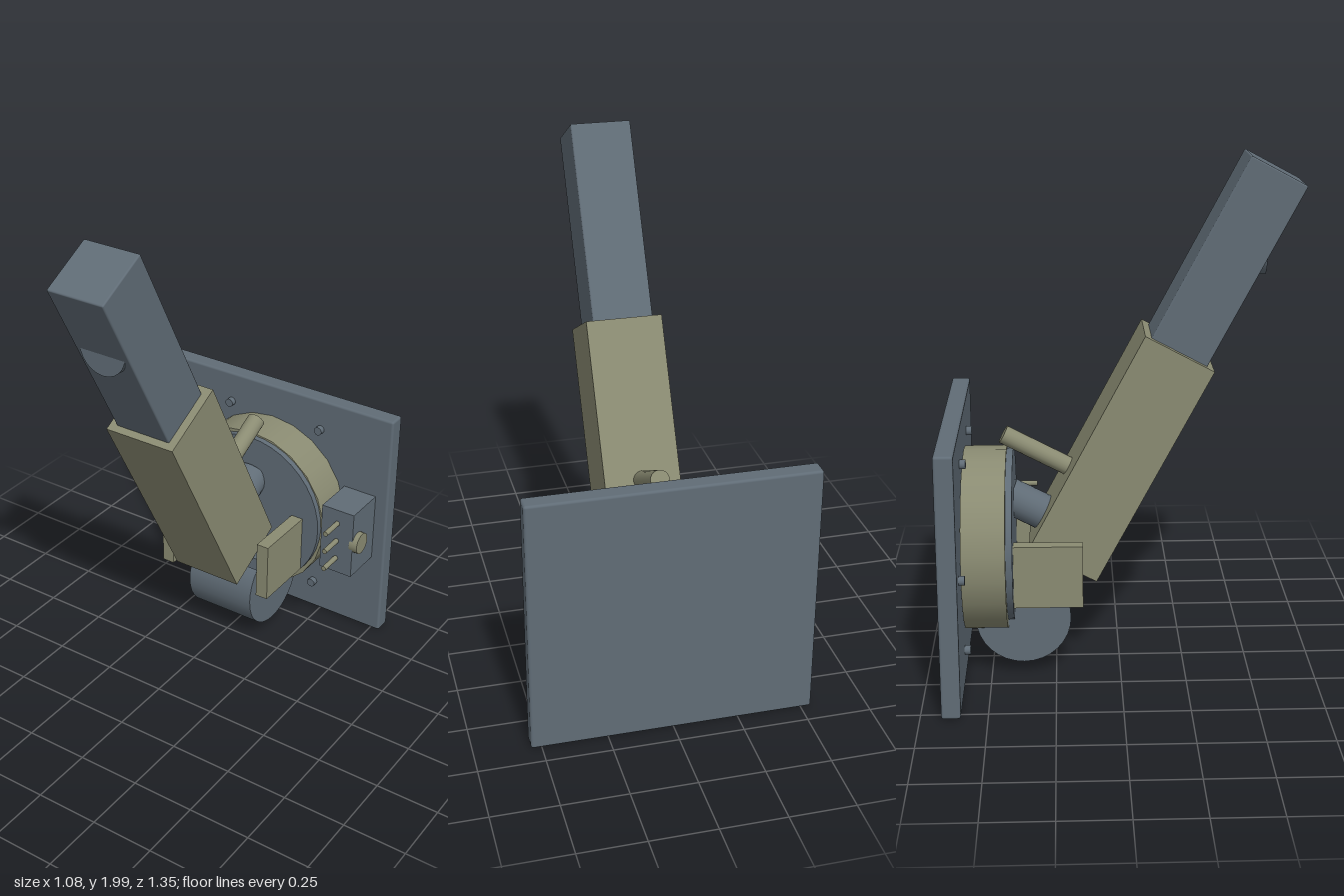
import * as THREE from 'three';
import { RoundedBoxGeometry } from 'three/addons/geometries/RoundedBoxGeometry.js';

const steel = new THREE.MeshStandardMaterial({ color: 0x606c76 });
steel.name = 'slate steel';
const olive = new THREE.MeshStandardMaterial({ color: 0x8a8b72 });
olive.name = 'olive metal';

const TILT = 0.49; // forward lean of the arm

export function createModel() {
  const model = new THREE.Group();
  model.name = 'wallMountedArm';

  const add = (name, geometry, material, parent = model) => {
    const mesh = new THREE.Mesh(geometry, material);
    mesh.name = name;
    parent.add(mesh);
    return mesh;
  };
  // Box given by its ranges on each axis, optionally with a small edge bevel
  const box = (name, [x0, x1], [y0, y1], [z0, z1], material, bevel = 0) => {
    const size = [x1 - x0, y1 - y0, z1 - z0];
    const geometry = bevel ? new RoundedBoxGeometry(...size, 2, bevel) : new THREE.BoxGeometry(...size);
    const mesh = add(name, geometry, material);
    mesh.position.set((x0 + x1) / 2, (y0 + y1) / 2, (z0 + z1) / 2);
    return mesh;
  };
  // Cylinder running between two points
  const rod = (name, from, to, radius, material, sides = 24) => {
    const a = new THREE.Vector3(...from), b = new THREE.Vector3(...to);
    const mesh = add(name, new THREE.CylinderGeometry(radius, radius, a.distanceTo(b), sides), material);
    mesh.position.copy(a).add(b).multiplyScalar(0.5);
    mesh.quaternion.setFromUnitVectors(new THREE.Vector3(0, 1, 0), b.sub(a).normalize());
    return mesh;
  };

  // Back plate with six bolts
  box('backPlate', [-0.54, 0.54], [0.01, 1.02], [-0.672, -0.6], steel, 0.01);
  for (let i = 0; i < 6; i++) {
    const t = (i * Math.PI) / 3;
    const x = -0.003 + 0.432 * Math.cos(t), y = 0.514 + 0.432 * Math.sin(t);
    rod('bolt', [x, y, -0.61], [x, y, -0.577], 0.018, steel, 12);
  }

  // Round drum and its front disc
  rod('drum', [-0.015, 0.525, -0.597], [-0.015, 0.525, -0.433], 0.356, olive, 22);
  rod('drumDisc', [-0.005, 0.535, -0.44], [-0.005, 0.535, -0.408], 0.335, steel, 40);

  // Lower wheel and hinge block
  rod('wheel', [-0.153, 0.24, -0.375], [0.147, 0.24, -0.375], 0.184, steel, 32);
  box('hingeBlock', [-0.165, 0.163], [0.385, 0.44], [-0.34, -0.22], steel);

  // Side brackets
  for (const side of [-1, 1]) {
    const x = side * 0.23;
    box('sideBracket', [x - 0.026, x + 0.026], [0.325, 0.57], [-0.42, -0.145], olive);
  }

  // Leaning arm: sleeve with a slimmer bar sliding out of it
  const arm = new THREE.Group();
  arm.name = 'arm';
  arm.position.set(0, 0.8675, 0);
  arm.rotation.x = TILT;
  model.add(arm);
  add('sleeve', new THREE.BoxGeometry(0.294, 0.94, 0.293), olive, arm);
  const bar = add('slidingBar', new RoundedBoxGeometry(0.234, 0.99, 0.236, 2, 0.006), steel, arm);
  bar.position.set(-0.002, 0.733, 0);

  // Round stop half sunk in the front of the bar
  rod('barStop', [-0.003, 1.65, 0.44], [-0.003, 1.65, 0.543], 0.096, steel);

  // Stem joining sleeve and disc, and the pin above it
  rod('stem', [0, 0.54, -0.145], [0, 0.69, -0.43], 0.07, steel);
  rod('lockPin', [0, 0.76, -0.11], [0, 0.937, -0.445], 0.036, olive, 20);

  // Control box with knob and three prongs
  box('controlBox', [0.338, 0.484], [0.365, 0.66], [-0.605, -0.422], steel);
  rod('knob', [0.47, 0.515, -0.462], [0.506, 0.515, -0.462], 0.045, olive, 20);
  for (const y of [0.432, 0.515, 0.598]) {
    rod('prong', [0.411, y, -0.44], [0.411, y, -0.325], 0.011, olive, 10);
  }
  return model;
}
